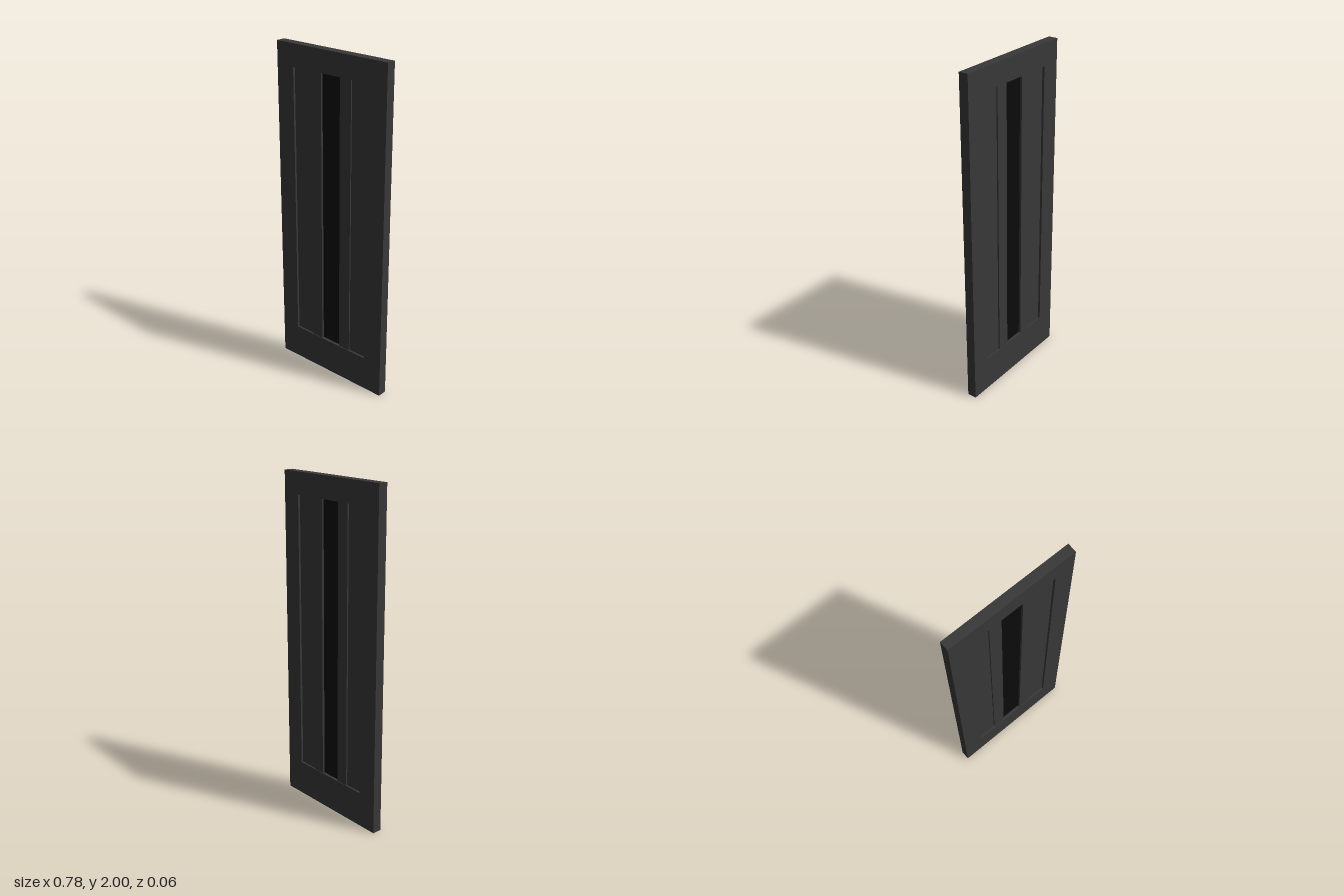
import * as THREE from 'three';

export function createModel() {
  const door = new THREE.Group();
  door.name = 'door';
  const paint = new THREE.MeshStandardMaterial({ color: 0x383838 });
  const darkGlass = new THREE.MeshStandardMaterial({ color: 0x0b0b0b });

  // Upright slab from its x and y limits and its thickness, centred on z = 0
  function slab(name, x0, x1, y0, y1, depth, material = paint) {
    const mesh = new THREE.Mesh(new THREE.BoxGeometry(x1 - x0, y1 - y0, depth), material);
    mesh.position.set((x0 + x1) / 2, (y0 + y1) / 2, 0);
    mesh.name = name;
    door.add(mesh);
  }

  const halfWidth = 0.39, stileIn = 0.27, beadOut = 0.146, beadIn = 0.068;
  const bottom = 0.21, top = 1.87, thickness = 0.056;

  // Rails between the stiles
  slab('bottomRail', -stileIn, stileIn, 0, bottom, thickness);
  slab('topRail', -stileIn, stileIn, top, 2, thickness);

  // Stiles, recessed panels and raised glazing strips on both sides
  for (const [side, s] of [['left', 1], ['right', -1]]) {
    const pair = (name, a, b, y0, y1, depth) =>
      slab(side + name, Math.min(s * a, s * b), Math.max(s * a, s * b), y0, y1, depth);
    pair('Stile', stileIn, halfWidth, 0, 2, thickness);
    pair('Panel', beadOut, stileIn, bottom, top, 0.03);
    pair('GlazingStrip', beadIn, beadOut, bottom, top, 0.046);
  }

  // Narrow vertical window
  slab('windowPane', -beadIn, beadIn, bottom, top, 0.02, darkGlass);

  return door;
}
